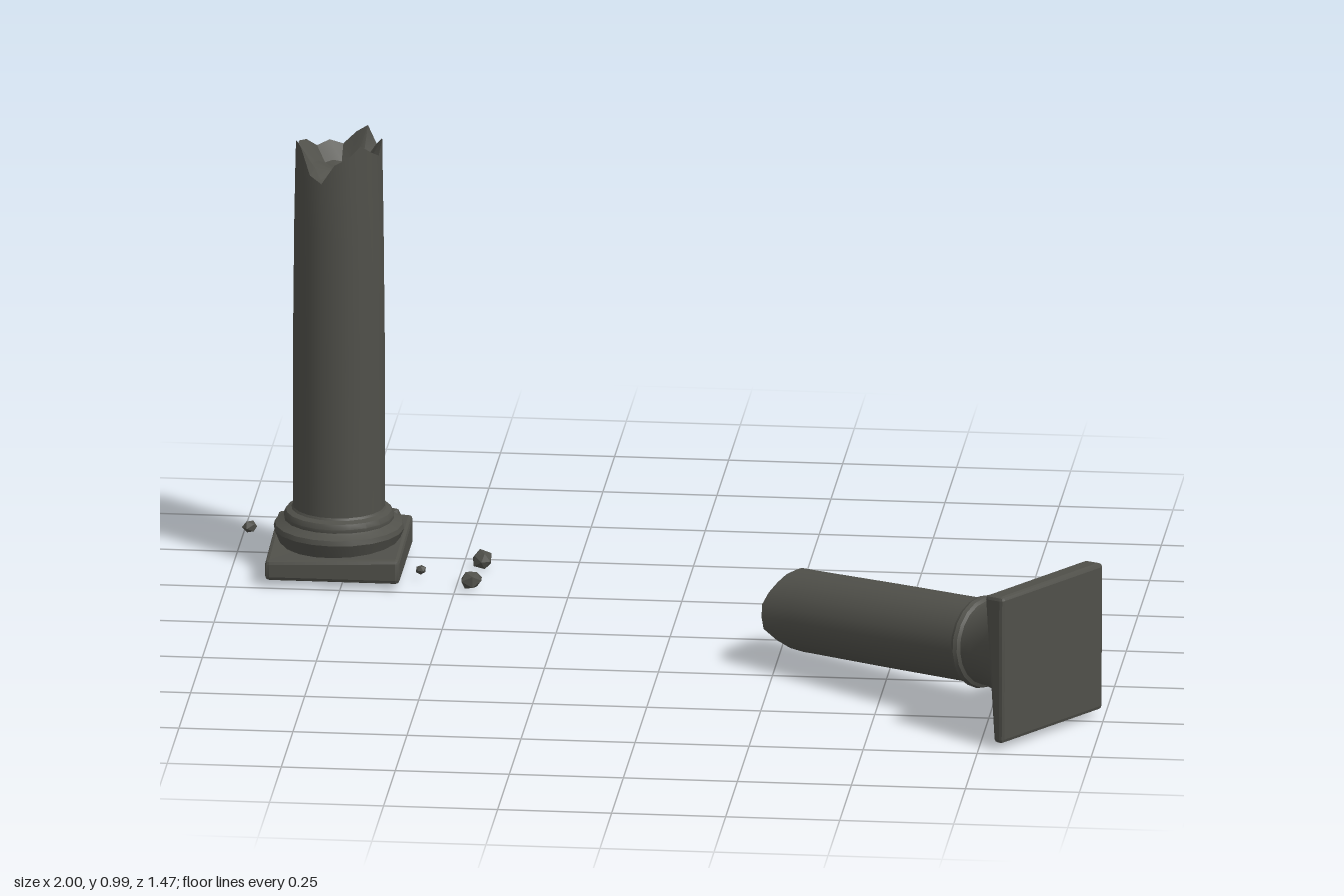
import * as THREE from 'three';
import { toCreasedNormals } from 'three/addons/utils/BufferGeometryUtils.js';
import { RoundedBoxGeometry } from 'three/addons/geometries/RoundedBoxGeometry.js';

export function createModel() {
  const model = new THREE.Group();
  const stone = new THREE.MeshStandardMaterial({ color: 0x50504a });
  stone.name = 'darkStone';

  function add(parent, name, geometry) {
    const mesh = new THREE.Mesh(geometry, stone);
    mesh.name = name;
    parent.add(mesh);
    return mesh;
  }

  // Move every vertex of a geometry by a rule
  function warp(geometry, rule) {
    const pos = geometry.attributes.position;
    const v = new THREE.Vector3();
    for (let i = 0; i < pos.count; i++) {
      rule(v.fromBufferAttribute(pos, i), i);
      pos.setXYZ(i, v.x, v.y, v.z);
    }
    return geometry;
  }

  const lathe = (profile, segments) =>
    new THREE.LatheGeometry(profile.map(([r, y]) => new THREE.Vector2(r, y)), segments);

  // Turned shaft whose rim follows a list of heights, with a hollow broken end.
  // The profile's last three points are the rim, an inner ring and the centre.
  function brokenShaft(profile, rim, innerFollow) {
    const n = profile.length;
    const geometry = warp(lathe(profile, rim.length), (v, i) => {
      const offset = rim[Math.floor(i / n) % rim.length];
      if (i % n === n - 3) v.y += offset;
      if (i % n === n - 2) v.y += offset * innerFollow;
    });
    return toCreasedNormals(geometry, 0.6);
  }

  // Slab with softened edges and a rule for worn corners
  function slab(w, h, d, rule) {
    return toCreasedNormals(warp(new RoundedBoxGeometry(w, h, d, 1, 0.009), rule), 0.3);
  }

  // Standing column
  const standing = new THREE.Group();
  standing.name = 'standingColumn';
  standing.position.set(-0.768, 0, -0.408);
  model.add(standing);

  add(standing, 'plinth', slab(0.295, 0.068, 0.297, (v) => {
    if (v.y > 0 && v.z > 0) v.y -= v.x < 0 ? 0.022 : 0.012;
  })).position.y = 0.054;

  add(standing, 'baseMouldings', toCreasedNormals(lathe([
    [0, 0.06], [0.13, 0.07], [0.138, 0.09], [0.143, 0.102], [0.14, 0.113], [0.126, 0.12],
    [0.12, 0.124], [0.121, 0.132], [0.116, 0.143], [0.104, 0.148], [0.1, 0.155],
  ], 20), 0.6));

  const standingRim = [
    -0.04, -0.025, 0, -0.02, -0.035, -0.005, -0.015, -0.035, 0, -0.02,
    -0.05, -0.04, -0.05, -0.03, -0.025, -0.04, -0.005, -0.015, -0.07, -0.085,
  ];
  add(standing, 'brokenShaft', brokenShaft([
    [0.102, 0.12], [0.101, 0.16], [0.101, 0.5], [0.098, 0.8], [0.095, 1],
    [0.06, 0.94], [0, 0.915],
  ], standingRim, 0.4));

  // Fallen column, built upright along its own axis from the broken end
  const fallen = new THREE.Group();
  fallen.name = 'fallenColumn';
  const axis = new THREE.Vector3(0.813, 0.077, 0.579).normalize();
  const side = new THREE.Vector3(axis.z, 0, -axis.x).normalize();
  const down = new THREE.Vector3().crossVectors(side, axis);
  fallen.quaternion.setFromRotationMatrix(new THREE.Matrix4().makeBasis(side, axis, down));
  fallen.position.set(0.275, 0.13, 0.145);
  model.add(fallen);
  const length = 0.782;

  // The shaft is turned towards the break, then flipped about its side axis
  const fallenRim = [
    -0.03, -0.02, -0.012, -0.004, 0, 0, -0.01, -0.025,
    -0.055, -0.05, -0.055, -0.06, -0.045, -0.025, 0, 0, 0, -0.01, -0.02, -0.025,
  ];
  const fallenShaft = add(fallen, 'fallenShaft', brokenShaft([
    [0.093, -0.59], [0.092, -0.3], [0.09, -0.08], [0.09, 0], [0.055, -0.01], [0, -0.022],
  ], fallenRim, 0.8));
  fallenShaft.rotation.x = Math.PI;

  add(fallen, 'capital', toCreasedNormals(lathe([
    [0.092, 0.555], [0.1, 0.56], [0.103, 0.568], [0.1, 0.577], [0.092, 0.582],
    [0.095, 0.61], [0.105, 0.65], [0.122, 0.69], [0.145, 0.73], [0.148, 0.745], [0, 0.75],
  ], 20), 0.6));

  add(fallen, 'capitalSlab', slab(0.335, 0.052, 0.335, (v) => {
    if (v.y > 0 && v.z > 0) v.y -= 0.026;
  })).position.y = length - 0.026;

  // Scattered rubble: x, z, size
  const rubble = new THREE.Group();
  rubble.name = 'rubble';
  model.add(rubble);
  [
    [-0.848, -0.718, 0.02], [-0.8, -0.724, 0.028], [-0.682, -0.718, 0.027], [-0.984, -0.616, 0.019],
    [-0.456, -0.436, 0.027], [-0.466, -0.295, 0.028], [-0.582, -0.353, 0.014],
  ].forEach(([x, z, size], k) => {
    const rough = (v) => {
      const h = Math.sin(v.x * 12.9 + v.y * 78.2 + v.z * 37.7 + k * 5.3) * 437.5;
      v.multiplyScalar(0.8 + 0.25 * (h - Math.floor(h)));
    };
    const geometry = warp(new THREE.IcosahedronGeometry(1, 0), (v) => {
      v.set(...v.toArray().map((c) => Math.round(c * 1000) / 1000 + 0));
      rough(v);
    });
    geometry.computeVertexNormals();
    const rock = add(rubble, 'rubbleStone', geometry);
    rock.scale.set(size, size * 0.85, size * 0.9);
    rock.rotation.y = k * 1.3;
    rock.position.set(x, 0.027, z);
  });

  return model;
}
